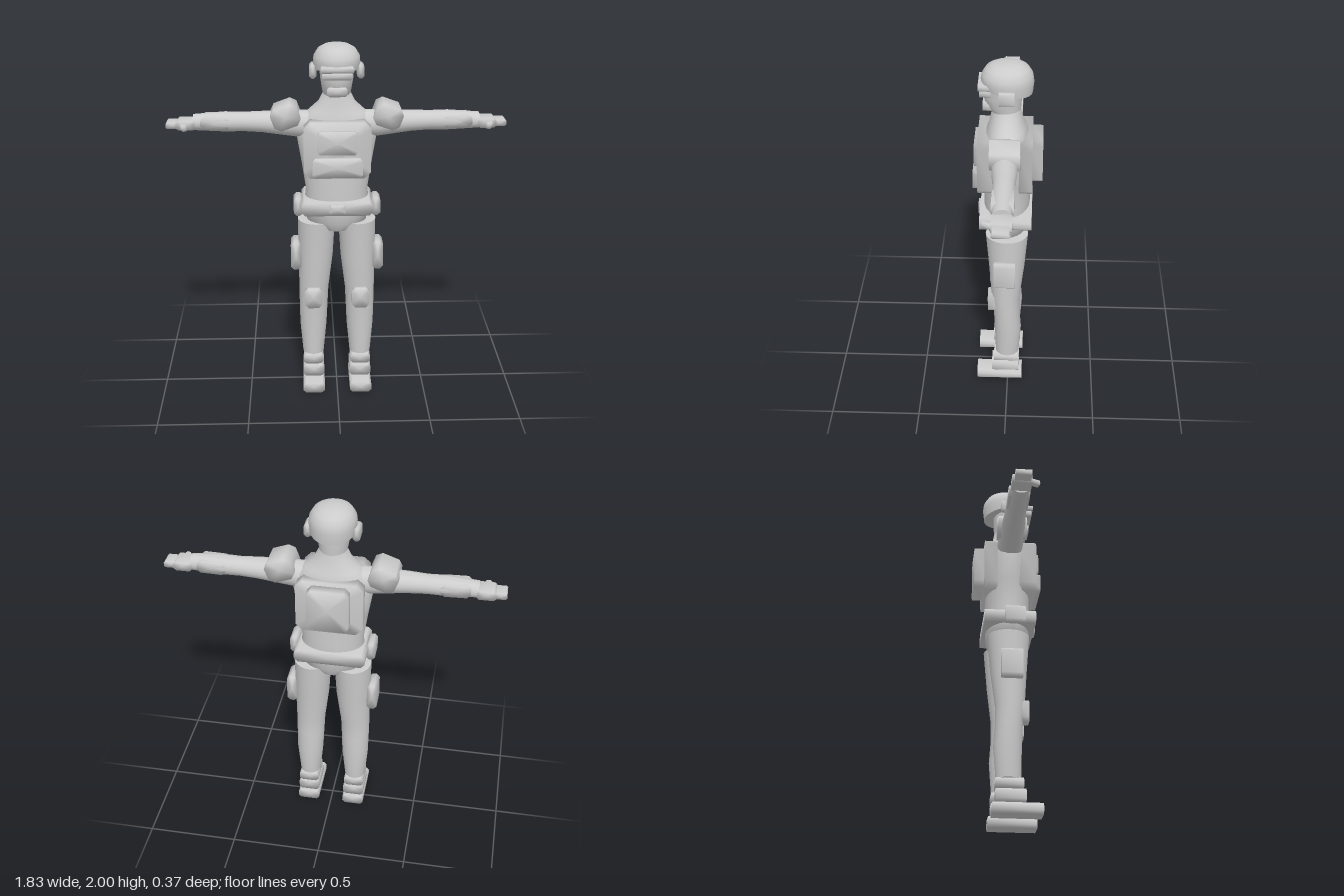
import * as THREE from 'three';
import { toCreasedNormals } from 'three/addons/utils/BufferGeometryUtils.js';

// Closed skin over a list of equal-length rings, with a fan cap on each end
function skin(rings) {
  const n = rings[0].length, pos = [], idx = [];
  for (const ring of rings) for (const p of ring) pos.push(...p);
  for (let r = 0; r < rings.length - 1; r++) {
    for (let i = 0; i < n; i++) {
      const a = r * n + i, b = r * n + (i + 1) % n;
      idx.push(a, a + n, b, b, a + n, b + n);
    }
  }
  const cap = (r, flip) => {
    const c = pos.length / 3;
    pos.push(...[0, 1, 2].map(k => rings[r].reduce((s, p) => s + p[k], 0) / n));
    for (let i = 0; i < n; i++) {
      const a = r * n + i, b = r * n + (i + 1) % n;
      if (flip) idx.push(c, b, a); else idx.push(c, a, b);
    }
  };
  cap(0, false);
  cap(rings.length - 1, true);
  const g = new THREE.BufferGeometry();
  g.setAttribute('position', new THREE.Float32BufferAttribute(pos, 3));
  g.setIndex(idx);
  g.computeVertexNormals();
  return g;
}

// Body form from elliptical sections [y, rx, rz, cx, cz, tilt]
function loft(sections, sides = 24) {
  return toCreasedNormals(skin(sections.map(([y, rx, rz, cx = 0, cz = 0, tilt = 0]) =>
    Array.from({ length: sides }, (_, i) => {
      const a = i / sides * Math.PI * 2, z = cz + rz * Math.sin(a);
      return [cx + rx * Math.cos(a), y + tilt * z, z];
    }))), 0.9);
}

// Soft block: chamfered rectangle in the front plane, extruded along z
function block(w, h, d, c) {
  const x = w / 2, y = h / 2;
  const outline = [[x, y - c], [x, c - y], [x - c, -y], [c - x, -y], [-x, c - y], [-x, y - c], [c - x, y], [x - c, y]];
  return skin([-d / 2, d / 2].map(z => outline.map(p => [...p, z])));
}

export function createModel() {
  const model = new THREE.Group();
  const grey = new THREE.MeshStandardMaterial({ color: 0xcccccc });
  grey.name = 'light grey';

  const add = (name, geometry) => {
    const mesh = new THREE.Mesh(geometry, grey);
    mesh.name = name;
    model.add(mesh);
    return mesh;
  };
  // Block given by its x, y and z extents
  const pad = (name, [x0, x1], [y0, y1], [z0, z1], bevel = 0.015) => {
    const mesh = add(name, block(Math.abs(x1 - x0), y1 - y0, z1 - z0, bevel));
    mesh.position.set((x0 + x1) / 2, (y0 + y1) / 2, (z0 + z1) / 2);
    return mesh;
  };

  // Torso from groin to neck
  add('torso', loft([
    [0.97, 0.085, 0.09, 0, 0.01], [1.02, 0.165, 0.118, 0, 0.01], [1.1, 0.18, 0.125, 0, 0.008],
    [1.2, 0.17, 0.125, 0, 0.008], [1.35, 0.192, 0.125, 0, 0.008], [1.5, 0.217, 0.122, 0, 0.008],
    [1.6, 0.2, 0.115, 0, 0.006], [1.64, 0.155, 0.1, 0, 0.006], [1.69, 0.1, 0.085, 0, 0.01],
    [1.74, 0.075, 0.075, 0, 0.01],
  ]));

  // Head and helmet
  add('head', loft([
    [1.725, 0.072, 0.074, 0, 0.01], [1.765, 0.079, 0.094, 0, 0.026],
    [1.82, 0.088, 0.1, 0, 0.03], [1.9, 0.094, 0.1, 0, 0.03],
  ]));
  add('helmet', loft([
    [1.858, 0.119, 0.13, 0, 0.004, 0.17], [1.905, 0.126, 0.138, 0, 0.005, 0.05],
    [1.94, 0.122, 0.132, 0, 0.005], [1.975, 0.1, 0.11, 0, 0.005],
    [1.993, 0.068, 0.076, 0, 0.005], [2.0, 0.025, 0.028, 0, 0.005],
  ]));
  pad('visorBrow', [-0.088, 0.088], [1.873, 1.903], [0.09, 0.155], 0.008);
  pad('goggles', [-0.08, 0.08], [1.835, 1.872], [0.09, 0.148], 0.01);
  pad('mouthGuard', [-0.054, 0.054], [1.742, 1.79], [0.08, 0.133], 0.012);

  // Vest, pouches and pack
  pad('chestPlate', [-0.18, 0.18], [1.3, 1.61], [0.065, 0.16], 0.035);
  pad('upperChestPouch', [-0.108, 0.108], [1.437, 1.565], [0.14, 0.18], 0.015);
  pad('lowerChestPouch', [-0.135, 0.135], [1.313, 1.418], [0.14, 0.187], 0.015);
  pad('backPlate', [-0.18, 0.18], [1.3, 1.61], [-0.13, -0.06], 0.035);
  pad('backPack', [-0.113, 0.113], [1.345, 1.59], [-0.185, -0.12], 0.025);

  // Belt
  pad('belt', [-0.195, 0.195], [1.082, 1.158], [-0.13, 0.153], 0.02);
  pad('buckle', [-0.045, 0.045], [1.093, 1.147], [0.14, 0.165], 0.01);

  for (const s of [-1, 1]) {
    const side = s > 0 ? 'left' : 'right';
    const both = (a, b) => [s * a, s * b];

    pad(side + 'EarCup', both(0.108, 0.146), [1.82, 1.893], [-0.035, 0.045], 0.012);
    pad(side + 'BeltPouch', both(0.188, 0.238), [1.062, 1.162], [-0.018, 0.09]);
    pad(side + 'ThighPouch', both(0.2, 0.258), [0.73, 0.895], [-0.043, 0.073], 0.018);
    pad(side + 'KneePad', both(0.084, 0.182), [0.507, 0.628], [0.065, 0.112], 0.02);

    // Leg
    add(side + 'Leg', loft([
      [0.19, 0.06, 0.067, s * 0.135, 0.003], [0.37, 0.076, 0.076, s * 0.134, -0.001],
      [0.5, 0.08, 0.074, s * 0.132, 0.007], [0.6, 0.083, 0.08, s * 0.13, 0.012],
      [0.8, 0.096, 0.099, s * 0.118, 0.006], [1.02, 0.104, 0.117, s * 0.113, 0.005],
    ]));

    // Boot
    pad(side + 'BootSole', both(0.072, 0.196), [0, 0.06], [-0.083, 0.18]);
    pad(side + 'BootAnkle', both(0.074, 0.194), [0.062, 0.133], [-0.066, 0.092]);
    pad(side + 'BootCuff', both(0.078, 0.192), [0.135, 0.192], [-0.066, 0.08]);

    // Arm, built upright and turned outwards
    const arm = add(side + 'Arm', loft([
      [0.14, 0.074, 0.075, -s * 1.566, 0.01], [0.22, 0.072, 0.07, -s * 1.568, 0.01],
      [0.4, 0.057, 0.064, -s * 1.578, 0.008], [0.5, 0.052, 0.056, -s * 1.579, 0.006],
      [0.6, 0.054, 0.058, -s * 1.58, 0.006], [0.77, 0.043, 0.049, -s * 1.578, 0.006],
    ]));
    arm.rotation.z = -s * Math.PI / 2;

    pad(side + 'ShoulderPad', both(0.2, 0.35), [1.556, 1.678], [-0.07, 0.088], 0.028).rotation.z = -s * 0.35;
    pad(side + 'ForearmGuard', both(0.572, 0.73), [1.547, 1.615], [-0.05, 0.06], 0.02).rotation.z = s * 0.03;

    // Hand
    pad(side + 'Palm', both(0.76, 0.86), [1.545, 1.595], [-0.046, 0.056], 0.012);
    pad(side + 'Fingers', both(0.845, 0.916), [1.552, 1.586], [-0.036, 0.048], 0.008);
    pad(side + 'Thumb', both(0.806, 0.842), [1.55, 1.582], [0.02, 0.095], 0.008).rotation.y = -s * 0.35;
  }
  return model;
}
